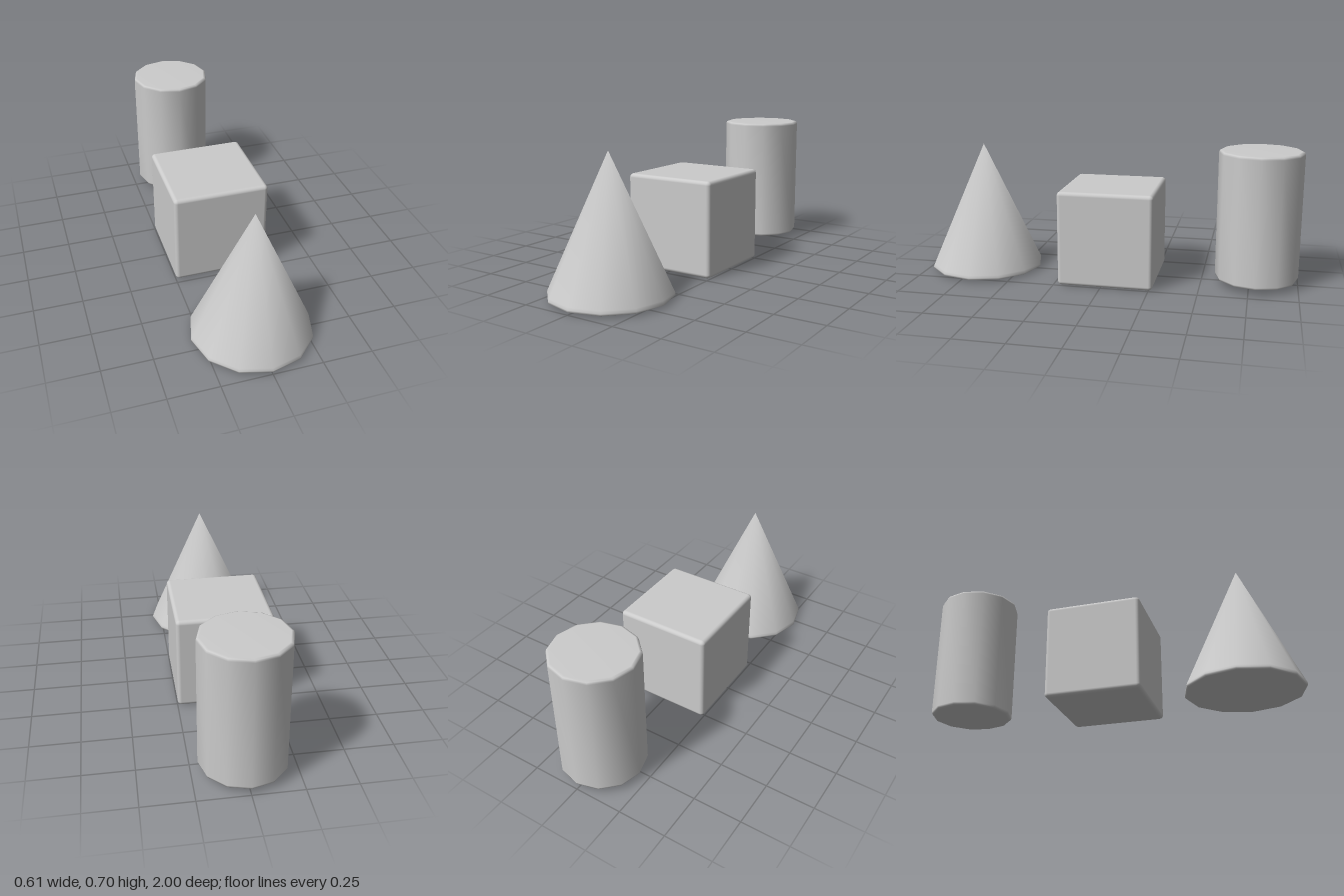
import * as THREE from 'three';
import { mergeVertices } from 'three/addons/utils/BufferGeometryUtils.js';
import { RoundedBoxGeometry } from 'three/addons/geometries/RoundedBoxGeometry.js';

const material = new THREE.MeshStandardMaterial({ color: 0xcccccc });

// Twelve-sided solid of revolution with shared, averaged normals
function turned(profile) {
  const lathe = new THREE.LatheGeometry(profile.map(([r, y]) => new THREE.Vector2(r, y)), 12);
  lathe.deleteAttribute('normal');
  lathe.deleteAttribute('uv');
  const geometry = mergeVertices(lathe, 1e-4);
  geometry.computeVertexNormals();
  return geometry;
}

export function createModel() {
  const group = new THREE.Group();
  const add = (name, geometry, y, z) => {
    const mesh = new THREE.Mesh(geometry, material);
    mesh.name = name;
    mesh.position.set(0, y, z);
    group.add(mesh);
  };

  // Cone with a narrow bevelled rim, at the front
  add('cone', turned([
    [0, 0.01], [0.295, 0.01], [0.302, 0.013], [0.303, 0.022], [0.298, 0.034], [0, 0.69],
  ]), 0, 0.697);

  // Cube with softened edges, in the middle
  add('cube', new RoundedBoxGeometry(0.497, 0.497, 0.497, 3, 0.02), 0.2485, -0.021);

  // Cylinder with bevelled rims, at the back
  add('cylinder', turned([
    [0, 0.03], [0.2, 0.03], [0.211, 0.034], [0.215, 0.045],
    [0.215, 0.69], [0.211, 0.701], [0.2, 0.705], [0, 0.705],
  ]), 0, -0.785);

  return group;
}
